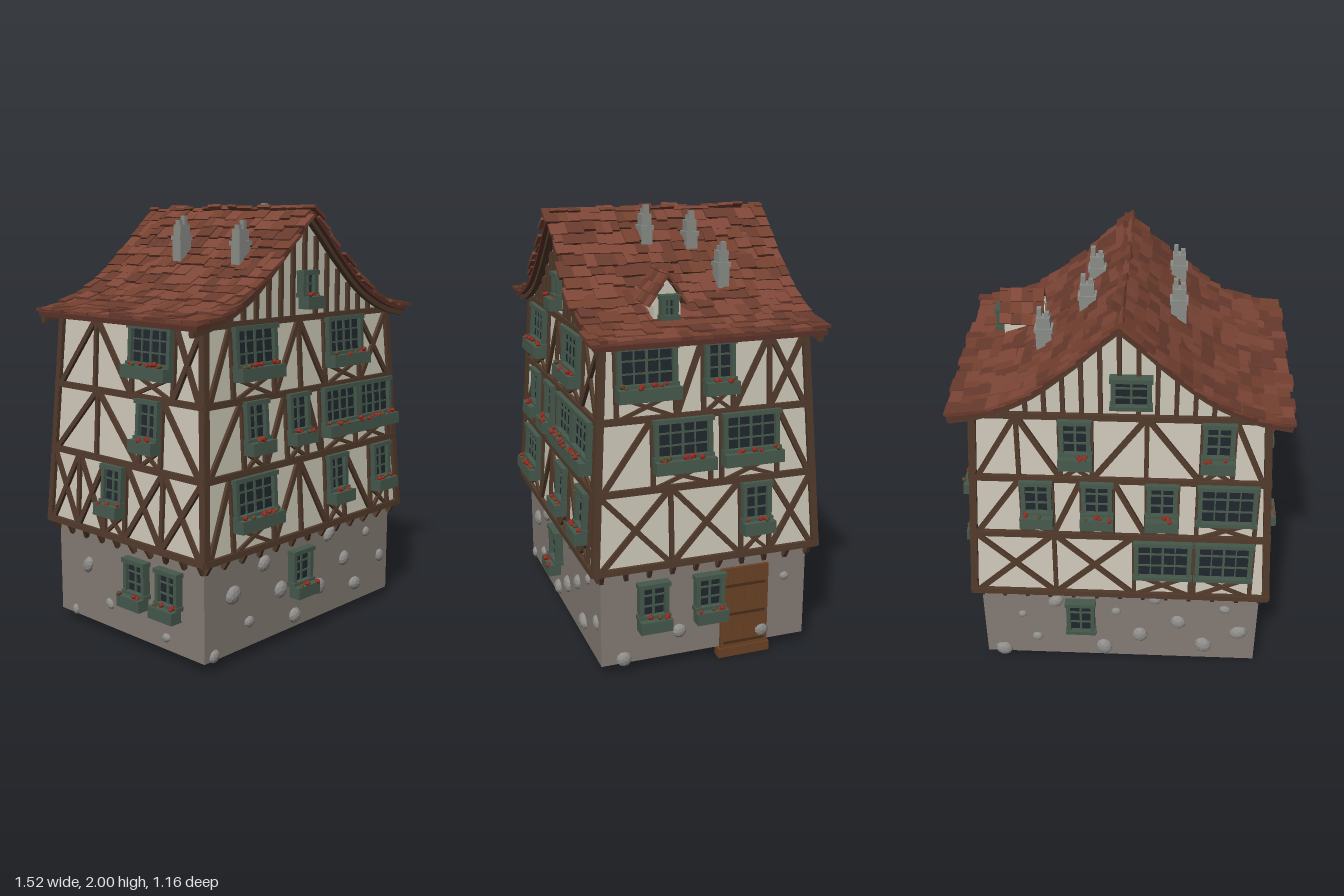
import * as THREE from 'three';
import { mergeGeometries } from 'three/addons/utils/BufferGeometryUtils.js';

const mat = (color, extra = {}) => new THREE.MeshStandardMaterial({ color, flatShading: true, ...extra });
const M = {
  plaster: mat(0xcdc8b8, { side: THREE.DoubleSide }),
  masonry: mat(0x857c75, { side: THREE.DoubleSide }),
  timber: mat(0x513a2b), green: mat(0x46594c), glass: mat(0x20272d),
  door: mat(0x6b4325), iron: mat(0x4a2d18), stone: mat(0x8f8d8a), chimney: mat(0x8b8d88),
  flower: mat(0x97291f), leaf: mat(0x5a4a2c), roof: mat(0x5a3228),
  tiles: [mat(0x74402f), mat(0x683a2d), mat(0x7d4637)],
};
let seed = 7;
const rnd = (a, b) => {
  seed = (seed * 16807) % 2147483647;
  return a + (b - a) * seed / 2147483647;
};

function add(parent, name, geo, material, x = 0, y = 0, z = 0) {
  const m = new THREE.Mesh(geo, material);
  m.name = name;
  m.position.set(x, y, z);
  parent.add(m);
  return m;
}
const box = (p, name, material, w, h, d, x, y, z) => add(p, name, new THREE.BoxGeometry(w, h, d), material, x, y, z);
function group(parent, name, x = 0, y = 0, z = 0) {
  const g = new THREE.Group();
  g.name = name;
  g.position.set(x, y, z);
  parent.add(g);
  return g;
}
// timber between two points of a wall plane
function beam(p, x1, y1, x2, y2, t = 0.024, d = 0.03) {
  const m = box(p, 'timber', M.timber, Math.hypot(x2 - x1, y2 - y1), t, d, (x1 + x2) / 2, (y1 + y2) / 2, 0);
  m.rotation.z = Math.atan2(y2 - y1, x2 - x1);
}
function cross(p, x1, y1, x2, y2, t) {
  beam(p, x1, y1, x2, y2, t);
  beam(p, x1, y2, x2, y1, t, 0.026);
}
// open rectangular shell through rings [halfX, halfZ, y], lowest first
function shell(p, name, material, rings) {
  const n = rings.length - 1;
  const g = new THREE.CylinderGeometry(1, 1, n, 4, n, true, Math.PI / 4);
  const a = g.attributes.position;
  for (let i = 0; i < a.count; i++) {
    const [hx, hz, y] = rings[Math.round(a.getY(i) + n / 2)];
    a.setXYZ(i, Math.sign(a.getX(i)) * hx, y, Math.sign(a.getZ(i)) * hz);
  }
  g.computeVertexNormals();
  add(p, name, g, material);
}

// window with frame, bars and flower box; y0..y1 includes the box
function windowUnit(p, u, y0, y1, w, planter) {
  const g = group(p, 'window', u);
  const b = y0 + (planter ? 0.05 : 0.015), h = y1 - b, cy = (b + y1) / 2, f = 0.02, iw = w - 2 * f;
  box(g, 'glass', M.glass, iw, h - f, 0.016, 0, cy, 0.01);
  for (const s of [-1, 1]) box(g, 'jamb', M.green, f, h, 0.06, s * (w - f) / 2, cy, 0.008);
  box(g, 'lintel', M.green, w + 0.012, f, 0.068, 0, y1 - f / 2, 0.01);
  box(g, 'sill', M.green, w + 0.012, f, 0.068, 0, b + f / 2, 0.01);
  const cols = w > 0.2 ? 4 : 2, rows = h > 0.12 ? 3 : 2;
  for (let i = 1; i < cols; i++) box(g, 'bar', M.green, i * 2 === cols ? 0.011 : 0.006, h, 0.03, -iw / 2 + iw * i / cols, cy, 0.01);
  for (let i = 1; i < rows; i++) box(g, 'bar', M.green, iw, 0.007, 0.03, 0, b + f / 2 + (h - f) * i / rows, 0.01);
  if (planter) {
    box(g, 'flowerBox', M.green, w + 0.012, 0.055, 0.06, 0, y0 + 0.028, 0.045);
    for (let i = 0; i < w * 28; i++)
      add(g, 'flower', new THREE.IcosahedronGeometry(rnd(0.009, 0.014)), i % 4 === 3 ? M.leaf : M.flower, rnd(-0.45, 0.45) * w, y0 + rnd(0.055, 0.07), rnd(0.045, 0.075));
  }
  return g;
}

const LEAN = 0.061, NARROW = 0.137, WIDE = 0.263, DOOR_U = 0.185;
const FLOORS = [0.51, 0.855, 1.165, 1.49];
const SILLS = [0.21, 0.61, 0.93, 1.25];
// window centres per storey, lowest first
const LONG = { half: 0.69, depth: 0.52, base: 0.49 }, SHORT = { half: 0.52, depth: 0.69, base: 0.665 };
const SIDES = [
  { ...LONG, name: 'front', narrow: [[-0.05], [0.185, 0.533], [-0.365, -0.08], []], wide: [[], [-0.39], [0.225, 0.49], [-0.35, 0.27]], gable: [0.008, 0.1], stones: 13 },
  { ...SHORT, name: 'right', narrow: [[-0.255, 0.01], [0.22], [], [0.05]], wide: [[], [], [-0.12, 0.195], [-0.275]], stones: 7 },
  { ...LONG, name: 'back', narrow: [[-0.19], [], [-0.37, -0.1, 0.19], [-0.19, 0.425]], wide: [[], [0.2, 0.48], [0.48], []], gable: [0.05, 0.17], stones: 13 },
  { ...SHORT, name: 'left', narrow: [[0.08, 0.29], [-0.05], [0.17], []], wide: [[], [], [], [0.17]], stones: 7 },
];

// concave roof slope from ridge to eave
const SLOPE = new THREE.SplineCurve([[0, 1.95], [0.1, 1.86], [0.2, 1.765], [0.38, 1.62], [0.57, 1.53], [0.73, 1.495]].map(p => new THREE.Vector2(...p)));
const PTS = SLOPE.getPoints(24);
function roofY(x) {
  const i = PTS.findIndex(p => p.x >= Math.abs(x)), a = PTS[i - 1], b = PTS[i];
  return a.y + (b.y - a.y) * (Math.abs(x) - a.x) / (b.x - a.x);
}
const roofLine = (off, maxX = 1) => [...PTS.slice(1).reverse().map(p => [-p.x, p.y]), ...PTS.map(p => [p.x, p.y])]
  .filter(p => Math.abs(p[0]) <= maxX).map(([x, y]) => new THREE.Vector2(x, y + off));
function band(p, name, material, top, bottom, z, depth) {
  const shape = new THREE.Shape([...roofLine(top), ...roofLine(bottom).reverse()]);
  add(p, name, new THREE.ExtrudeGeometry(shape, { depth, bevelEnabled: false }), material, 0, 0, z);
}

// one storey: windows with posts, and braces in the bays between them
function buildStorey(wall, side, k, hw) {
  const f = FLOORS[k - 1], top = FLOORS[k], sill = SILLS[k], back = side.name === 'back';
  const openings = [...side.narrow[k].map(u => [u, NARROW]), ...side.wide[k].map(u => [u, WIDE])].sort((a, b) => a[0] - b[0]);
  let from = -hw;
  for (const [u, w] of [...openings, [hw, 0]]) {
    const to = u - w / 2, gap = to - from, bays = gap > 0.28 ? 2 : 1;
    for (let i = 0; i < bays && gap > 0.09; i++) {
      const a = from + gap * i / bays, b = from + gap * (i + 1) / bays;
      const last = w === 0 && i === bays - 1;
      const rise = bays === 2 ? i === 0 : a + b < 0;
      if (i) beam(wall, a, f, a, top, 0.02);
      if ((k === 1 && side.name !== 'front') || (k === 3 && last && b - a > 0.15)) cross(wall, a, f, b, top);
      else beam(wall, a, rise ? f : top, b, rise ? top : f);
    }
    from = u + w / 2;
    if (!w) continue;
    windowUnit(wall, u, sill, sill + 0.232, w, !back || w === NARROW);
    for (const s of [-1, 1]) beam(wall, u + s * w / 2, f, u + s * w / 2, top, 0.02);
    cross(wall, u - w / 2, f, u + w / 2, sill + 0.02, 0.016);
  }
}

function buildSide(house, s, index) {
  const side = group(house, s.name + 'Side');
  side.rotation.y = index * Math.PI / 2;
  // leaning timber frame
  const pivot = group(side, 'leaningWall', 0, FLOORS[0], s.depth);
  pivot.rotation.x = -LEAN;
  const wall = group(pivot, 'timberFrame', 0, -FLOORS[0]);
  const hw = y => s.half - LEAN * (y - FLOORS[0]);
  FLOORS.forEach((y, k) => {
    beam(wall, -hw(y) - 0.012, y, hw(y) + 0.012, y, 0.028, 0.04);
    if (k) buildStorey(wall, s, k, hw(y));
  });
  for (const k of [-1, 1]) beam(wall, k * hw(FLOORS[0]), FLOORS[0], k * hw(FLOORS[3]), FLOORS[3], 0.03, 0.034);

  // base windows, joist ends under the overhang, and rough stones
  const base = group(side, 'baseWall', 0, 0, s.base);
  for (const u of s.narrow[0]) windowUnit(base, u, SILLS[0], SILLS[0] + 0.22, NARROW, s.name !== 'back');
  const n = Math.round(s.half * 2 / 0.115);
  for (let i = 0; i <= n; i++) {
    const j = box(base, 'joistEnd', M.timber, 0.018, 0.055, 0.026, (i / n - 0.5) * 2 * (s.half - 0.03), 0.482, 0.016);
    j.rotation.set(0.45, 0, rnd(-0.3, 0.3));
  }
  const blocked = [...s.narrow[0], ...(s.name === 'right' ? [DOOR_U] : [])];
  for (let i = 0; i < s.stones; i++) {
    const u = ((i + rnd(0.2, 0.8)) / s.stones - 0.5) * 2 * (s.half - 0.06), y = 0.07 + 0.4 * ((i * 0.618) % 1);
    if (y > 0.15 && blocked.some(b => Math.abs(b - u) < 0.12)) continue;
    const m = add(base, 'wallStone', new THREE.IcosahedronGeometry(rnd(0.024, 0.045), 1), M.stone, u, y);
    m.scale.set(rnd(0.75, 1), rnd(0.85, 1.15), 0.6);
    m.rotation.z = rnd(0, 3);
  }
  if (!s.gable) return;

  // plastered gable with studs
  const gable = group(side, 'gable', 0, 0, s.depth - 0.06);
  const outline = [...roofLine(-0.025, 0.63), new THREE.Vector2(0.63, 1.48), new THREE.Vector2(-0.63, 1.48)];
  add(gable, 'gableWall', new THREE.ShapeGeometry(new THREE.Shape(outline)), M.plaster);
  for (let i = 1; i <= 6; i++) for (const x of [-i * 0.08, i * 0.08]) beam(gable, x, 1.49, x, roofY(x) - 0.03, 0.02);
  beam(gable, 0, 1.7, 0, 1.92, 0.02);
  windowUnit(gable, s.gable[0], 1.53, 1.7, s.gable[1], s.name === 'front');
}

// rows of uneven tiles on both slopes
function buildTiles(house) {
  const shades = [[], [], []], rows = 14;
  for (const s of [-1, 1]) for (let r = 0; r < rows; r++) {
    const t = (r + 0.4) / rows, p = SLOPE.getPointAt(t), d = SLOPE.getTangentAt(t);
    for (let z = -0.53, w; z < 0.5; z += w) {
      w = Math.min(rnd(0.035, 0.1), 0.54 - z);
      const j = rnd(-0.012, 0.012), angle = Math.atan2(d.y, d.x) + rnd(0.06, 0.15);
      shades[Math.floor(rnd(0, 2.999))].push(new THREE.BoxGeometry(rnd(0.085, 0.105), 0.014, w)
        .rotateX(rnd(-0.04, 0.04)).rotateZ(s * angle)
        .translate(s * (p.x + d.x * j), p.y + d.y * j + rnd(0.012, 0.022), z + w / 2));
    }
  }
  const roof = group(house, 'roofTiles');
  shades.forEach((g, i) => add(roof, 'tileShade' + (i + 1), mergeGeometries(g), M.tiles[i]));
}

function buildDormer(house) {
  const d = group(house, 'dormer', 0.37, 0, 0.15);
  d.rotation.y = Math.PI / 2;
  // pointed-arch front
  const face = new THREE.Shape();
  face.moveTo(-0.062, 1.5);
  face.lineTo(0.062, 1.5);
  face.lineTo(0.06, 1.62);
  face.quadraticCurveTo(0.045, 1.68, 0, 1.725);
  face.quadraticCurveTo(-0.045, 1.68, -0.06, 1.62);
  add(d, 'dormerWall', new THREE.ExtrudeGeometry(face, { depth: 0.19, bevelEnabled: false, curveSegments: 4 }), M.plaster);
  windowUnit(d, 0, 1.55, 1.67, 0.075, false).position.z = 0.19;
  for (const s of [-1, 1]) for (let r = 0; r < 3; r++) for (let c = 0; c < 4; c++) {
    const k = (r + 0.5) / 3;
    const m = box(d, 'dormerTile', M.tiles[(r + c) % 3], 0.062, 0.013, 0.052, s * 0.084 * k, 1.752 - 0.13 * k + rnd(0, 0.008), 0.03 + c * 0.05);
    m.rotation.z = -s * rnd(0.8, 0.95);
  }
}

function buildChimney(house, x, z, top) {
  const c = group(house, 'chimney', x, 0, z), low = roofY(x) - 0.06, mid = top - 0.1;
  box(c, 'stack', M.chimney, 0.068, mid - low, 0.052, 0, (mid + low) / 2, 0);
  box(c, 'collar', M.chimney, 0.08, 0.02, 0.062, 0, mid, 0);
  box(c, 'upperStack', M.chimney, 0.06, 0.06, 0.046, 0, mid + 0.03, 0);
  box(c, 'tallPot', M.chimney, 0.02, 0.05, 0.026, 0.016, mid + 0.075, 0);
  box(c, 'shortPot', M.chimney, 0.02, 0.03, 0.026, -0.016, mid + 0.065, 0);
}

export function createModel() {
  const model = new THREE.Group();
  model.name = 'timberFramedHouse';
  const house = group(model, 'house', 0, 0, -0.02);
  shell(house, 'stoneBase', M.masonry, [[0.665, 0.49, 0.05], [0.665, 0.49, 0.5], [0.69, 0.52, 0.51]]);
  shell(house, 'plasterWalls', M.plaster, [[0.69, 0.52, 0.51], [0.63, 0.46, 1.49]]);
  SIDES.forEach((s, i) => buildSide(house, s, i));

  // plank door with step
  const door = group(house, 'door', 0.665, 0, -DOOR_U);
  door.rotation.y = Math.PI / 2;
  for (let i = 0; i < 4; i++) box(door, 'plank', M.door, 0.056, 0.415, 0.03, (i - 1.5) * 0.058, 0.228, 0);
  for (const y of [0.07, 0.21, 0.35]) box(door, 'hingeStrap', M.iron, 0.2, 0.012, 0.038, 0, y, 0);
  box(door, 'doorStep', M.door, 0.25, 0.045, 0.05, 0, 0.0225, -0.005);

  // roof deck, barge boards, tiles, dormer and chimneys
  band(house, 'roofDeck', M.roof, 0.008, -0.014, -0.52, 1.04);
  for (const z of [-0.5, 0.475]) band(house, 'bargeBoard', M.timber, -0.012, -0.04, z, 0.025);
  buildTiles(house);
  buildDormer(house);
  buildChimney(house, -0.24, -0.07, 1.94);
  buildChimney(house, -0.24, 0.3, 1.92);
  buildChimney(house, 0.155, -0.105, 1.97);
  buildChimney(house, 0.125, 0.1, 2);
  buildChimney(house, 0.34, -0.185, 1.85);
  return model;
}
